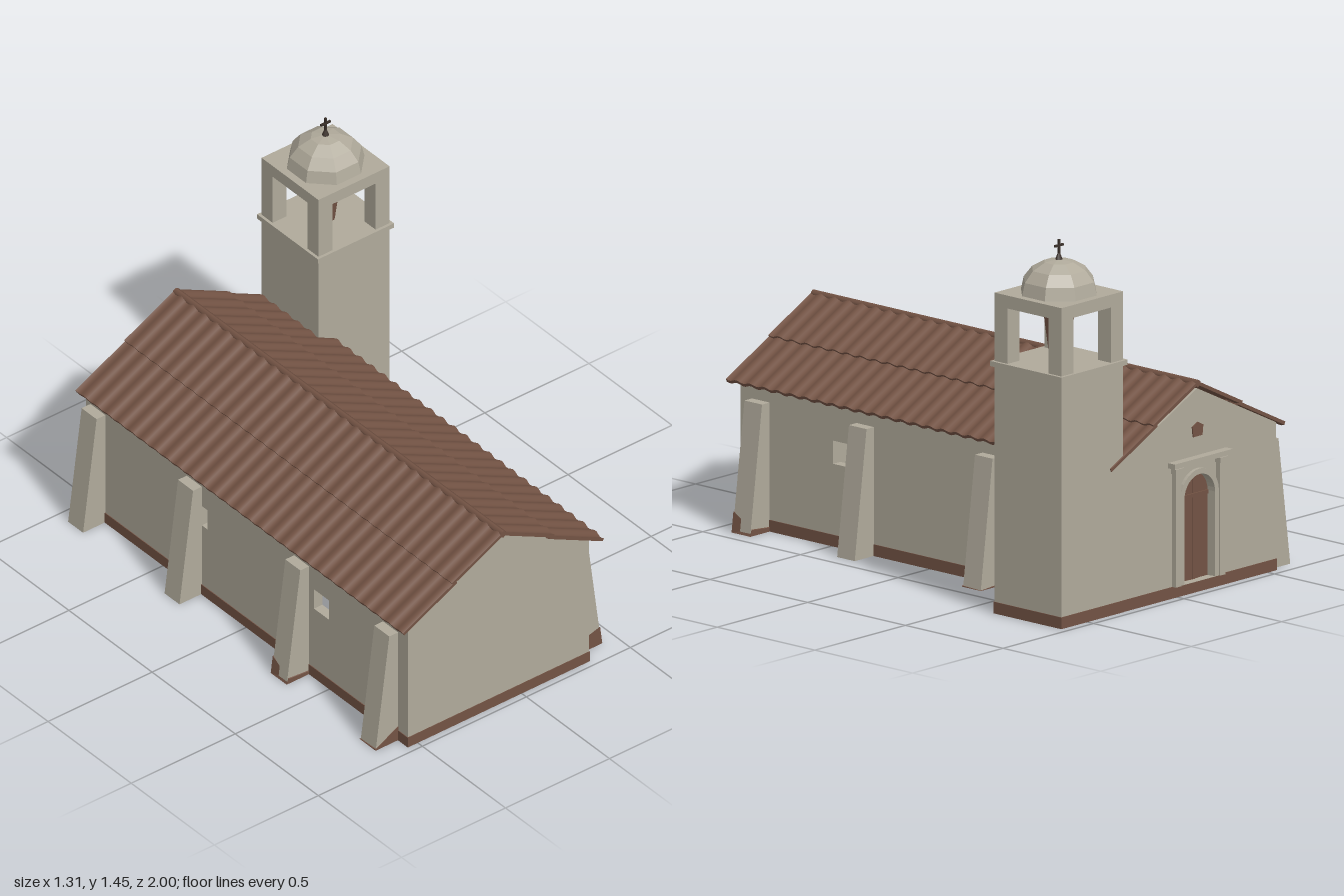
import * as THREE from 'three';

const mat = (name, color, side = THREE.FrontSide) => {
  const m = new THREE.MeshStandardMaterial({ color, side });
  m.name = name;
  return m;
};

export function createModel() {
  const model = new THREE.Group();
  const plaster = mat('plaster', 0xb0aa9b);
  const brown = mat('brown', 0x735344);
  const iron = mat('iron', 0x3a302a);

  const add = (parent, name, geo, m, x = 0, y = 0, z = 0) => {
    const mesh = new THREE.Mesh(geo, m);
    mesh.name = name;
    mesh.position.set(x, y, z);
    parent.add(mesh);
    return mesh;
  };
  const box = (parent, name, m, w, h, d, x, y, z) =>
    add(parent, name, new THREE.BoxGeometry(w, h, d), m, x, y, z);
  const poly = pts => new THREE.Shape(pts.map(p => new THREE.Vector2(...p)));
  const rect = (x0, y0, x1, y1) => poly([[x0, y0], [x1, y0], [x1, y1], [x0, y1]]);
  const extrude = (shape, depth) =>
    new THREE.ExtrudeGeometry(shape, { depth, bevelEnabled: false, curveSegments: 8 });
  const faceted = geo => {
    const g = geo.toNonIndexed();
    g.computeVertexNormals();
    return g;
  };
  // Upright doorway outline with a round head
  const arch = (r, y0, spring) => {
    const s = new THREE.Shape();
    s.moveTo(-r, y0);
    s.lineTo(r, y0);
    s.lineTo(r, spring);
    s.absarc(0, spring, r, 0, Math.PI, false);
    s.lineTo(-r, y0);
    return s;
  };
  // Painted rectangular ring around the foot of a building
  const footBand = (parent, hw, hd, x, z) => {
    const s = rect(-hw, -hd, hw, hd), t = 0.04;
    s.holes.push(rect(-hw + t, -hd + t, hw - t, hd - t));
    const g = extrude(s, 0.045);
    g.rotateX(-Math.PI / 2);
    add(parent, 'footBand', g, brown, x, 0, z);
  };

  // ---- Hall ----
  const hall = new THREE.Group();
  hall.name = 'hall';
  hall.position.x = -0.11;
  model.add(hall);
  const HW = 0.435, EAVE = 0.575, T = 0.04;
  const gable = () => poly([[-HW, 0], [HW, 0], [HW, EAVE], [0, 0.79], [-HW, EAVE]]);
  add(hall, 'frontGable', extrude(gable(), T), plaster, 0, 0, 0.93);
  const facade = gable();
  facade.holes.push(arch(0.085, 0.045, 0.375));
  add(hall, 'doorGable', extrude(facade, T), plaster, 0, 0, -0.965);
  footBand(hall, HW + 0.003, 0.97, 0, 0.0025);

  // Long walls with small square windows
  const windows = [0.45, -0.28];
  for (const s of [1, -1]) {
    const wall = rect(-0.925, 0, 0.93, EAVE);
    for (const z of windows) wall.holes.push(rect(z - 0.045, 0.32, z + 0.045, 0.41));
    const g = extrude(wall, T);
    g.rotateY(-Math.PI / 2);
    add(hall, 'sideWall', g, plaster, s > 0 ? HW : -HW + T);
    for (const z of windows) {
      const shutter = add(hall, 'innerShutter', new THREE.PlaneGeometry(0.1, 0.1), brown,
        s * (HW - T - 0.003), 0.365, z);
      shutter.rotation.y = -s * Math.PI / 2;
    }
    // Sloping buttresses
    for (const z of s > 0 ? [0.865, 0.33, -0.315] : [0.865, 0.33, -0.315, -0.895]) {
      const b = extrude(poly([[s * 0.38, 0], [s * 0.542, 0], [s * 0.477, 0.5], [s * 0.38, 0.5]]), 0.09);
      add(hall, 'buttress', b, plaster, 0, 0, z - 0.045);
    }
  }
  // Uneven painted feet on some buttresses: side, z, height at wall, height outside, front and back scale
  const feet = [
    [1, 0.865, 0.05, 0.08, 1, 0.3], [-1, 0.865, 0.065, 0.004, 1, 0.3],
    [1, -0.315, 0.08, 0.004, 1, 0.1], [-1, 0.33, 0.045, 0.075, 0.3, 1],
  ];
  for (const [s, z, hIn, hOut, front, back] of feet) {
    const g = extrude(poly([[s * 0.43, 0], [s * 0.545, 0], [s * (0.545 - hOut * 0.13), hOut], [s * 0.43, hIn]]), 0.096);
    const p = g.attributes.position;
    for (let i = 0; i < p.count; i++) p.setY(i, p.getY(i) * (p.getZ(i) > 0.05 ? front : back));
    g.computeVertexNormals();
    add(hall, 'buttressFoot', g, brown, 0, 0, z - 0.048);
  }

  // ---- Tiled roof: two overlapping wavy courses on each slope ----
  const slope = Math.atan2(0.24, 0.48);
  const course = (x0, x1, lift) => {
    const len = (x1 - x0) / Math.cos(slope), waves = 28;
    const g = new THREE.BoxGeometry(len, 0.013, 1.97, 1, 1, waves * 6);
    const p = g.attributes.position;
    for (let i = 0; i < p.count; i++) {
      const a = (p.getZ(i) / 1.97 + 0.5) * waves * Math.PI * 2;
      p.setY(i, p.getY(i) + 0.005 * Math.sin(a));
    }
    g.computeVertexNormals();
    g.rotateZ(-slope);
    const xm = (x0 + x1) / 2;
    g.translate(xm, 0.808 - xm * 0.5 + lift, 0.015);
    return g;
  };
  for (const turn of [0, Math.PI]) {
    const side = new THREE.Group();
    side.name = 'roofSlope';
    side.rotation.y = turn;
    side.position.z = turn ? 0.03 : 0;
    hall.add(side);
    add(side, 'upperTiles', course(0, 0.245, 0.003), brown);
    add(side, 'lowerTiles', course(0.225, 0.48, -0.005), brown);
  }
  const cap = new THREE.CylinderGeometry(0.015, 0.015, 1.97, 6);
  cap.rotateX(Math.PI / 2);
  add(hall, 'ridgeCap', cap, brown, 0, 0.809, 0.015);

  // ---- Doorway ----
  const door = new THREE.Group();
  door.name = 'doorway';
  hall.add(door);
  for (const s of [1, -1]) {
    box(door, 'doorLeaf', brown, 0.083, 0.42, 0.01, s * 0.0425, 0.255, -0.935);
    box(door, 'pilaster', plaster, 0.032, 0.465, 0.02, s * 0.122, 0.2775, -0.974);
    box(door, 'capital', plaster, 0.045, 0.02, 0.028, s * 0.122, 0.495, -0.978);
  }
  box(door, 'doorRail', brown, 0.17, 0.015, 0.016, 0, 0.37, -0.938);
  const surround = arch(0.106, 0.045, 0.375);
  surround.holes.push(arch(0.085, 0.046, 0.375));
  add(door, 'archSurround', extrude(surround, 0.015), plaster, 0, 0, -0.979);
  box(door, 'doorCornice', plaster, 0.32, 0.02, 0.035, 0, 0.52, -0.982);
  add(hall, 'gableVent', extrude(poly([[-0.025, 0.605], [0.025, 0.605], [0.03, 0.645], [0, 0.66], [-0.03, 0.645]]), 0.006),
    brown, 0, 0, -0.97);

  // ---- Bell tower ----
  const tower = new THREE.Group();
  tower.name = 'bellTower';
  tower.position.set(0.47, 0, -0.795);
  model.add(tower);
  // Shaft is a shell, open underneath
  const shaft = new THREE.BoxGeometry(0.342, 0.96, 0.342);
  shaft.setIndex([...shaft.index.array].filter((v, i) => i < 18 || i > 23));
  shaft.clearGroups();
  add(tower, 'shaft', shaft, plaster, 0, 0.48, 0);
  footBand(tower, 0.174, 0.174, 0, 0);
  box(tower, 'towerCornice', plaster, 0.366, 0.02, 0.366, 0, 0.97, 0);
  for (const x of [-1, 1]) for (const z of [-1, 1])
    box(tower, 'belfryPier', plaster, 0.067, 0.215, 0.067, x * 0.1375, 1.0875, z * 0.1375);
  box(tower, 'belfryTop', plaster, 0.342, 0.05, 0.342, 0, 1.22, 0);

  // Eight-sided dome
  const profile = [];
  for (let i = 0; i <= 4; i++) {
    const a = i * Math.PI / 8;
    profile.push(new THREE.Vector2(i === 4 ? 0 : 0.152 * Math.cos(a), 1.245 + 0.13 * Math.sin(a)));
  }
  add(tower, 'dome', faceted(new THREE.LatheGeometry(profile, 8)), plaster).rotation.y = Math.PI / 8;

  // Bell and cross
  add(tower, 'bell', faceted(new THREE.CylinderGeometry(0.062, 0.038, 0.17, 8)), brown, 0, 1.075, 0).rotation.y = Math.PI / 8;
  add(tower, 'finial', new THREE.CylinderGeometry(0.004, 0.016, 0.03, 8), iron, 0, 1.383, 0);
  box(tower, 'crossPost', iron, 0.008, 0.08, 0.008, 0, 1.41, 0);
  box(tower, 'crossBar', iron, 0.046, 0.008, 0.008, 0, 1.426, 0);

  return model;
}
